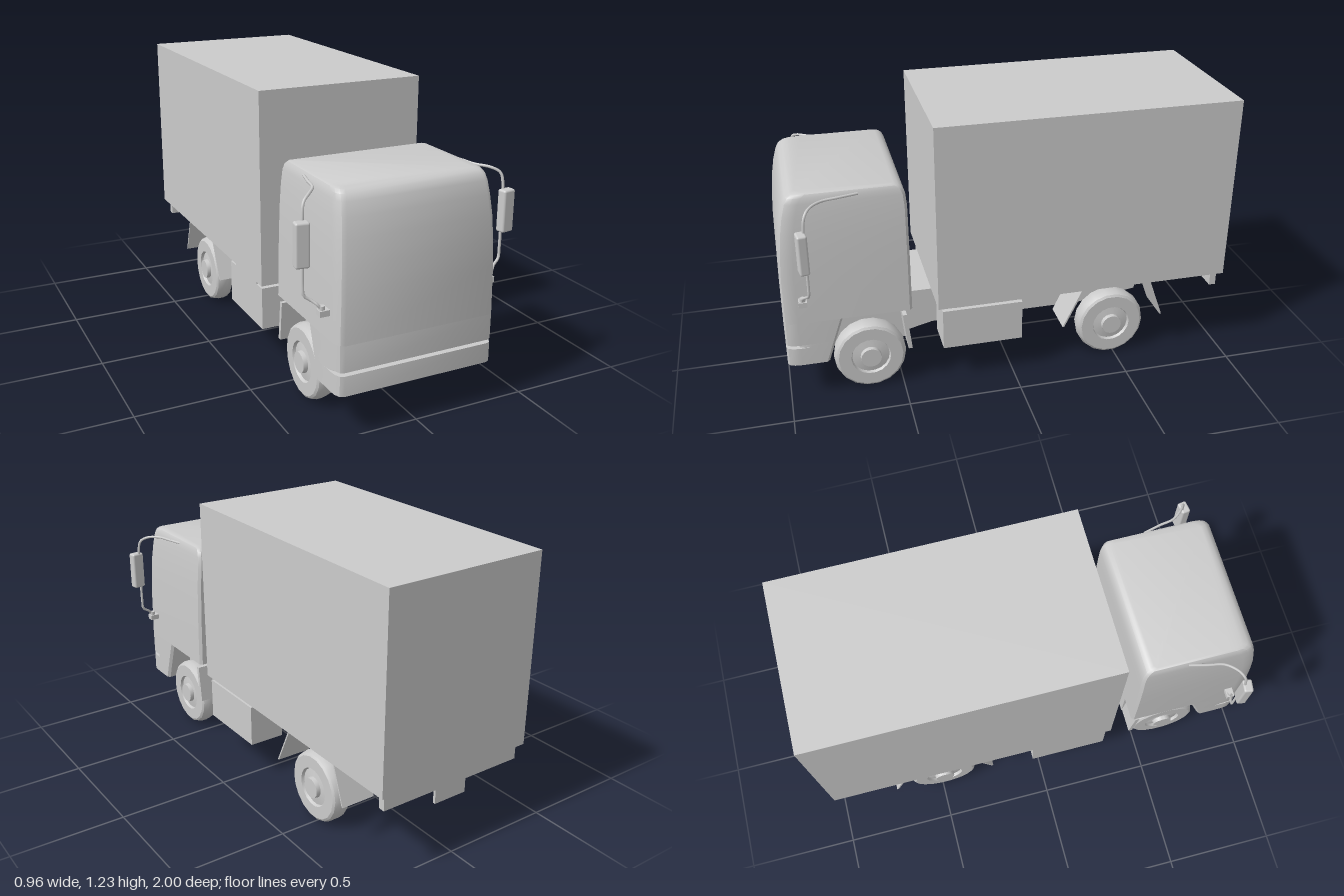
import * as THREE from 'three';
import { toCreasedNormals } from 'three/addons/utils/BufferGeometryUtils.js';
import { RoundedBoxGeometry } from 'three/addons/geometries/RoundedBoxGeometry.js';

const grey = new THREE.MeshStandardMaterial({ color: 0xcccccc });
const greyThin = new THREE.MeshStandardMaterial({ color: 0xcccccc, side: THREE.DoubleSide });

function add(parent, name, geometry, material = grey) {
  const mesh = new THREE.Mesh(geometry, material);
  mesh.name = name;
  parent.add(mesh);
  return mesh;
}

// Box given by its lower and upper limits
function block(parent, name, x0, x1, y0, y1, z0, z1) {
  const g = new THREE.BoxGeometry(x1 - x0, y1 - y0, z1 - z0);
  g.translate((x0 + x1) / 2, (y0 + y1) / 2, (z0 + z1) / 2);
  return add(parent, name, g);
}

// Side profile of [z, y] points extruded across x
function sideProfile(points, x0, x1) {
  const shape = new THREE.Shape(points.map(([z, y]) => new THREE.Vector2(z, y)));
  const g = new THREE.ExtrudeGeometry(shape, { depth: x1 - x0, bevelEnabled: false });
  return g.rotateY(-Math.PI / 2).translate(x1, 0, 0);
}

// Cab outline seen from above, with eased front corners
function cabRing(w, front, back) {
  const right = [[w - 0.03, front], [w - 0.013, front - 0.008], [w - 0.003, front - 0.03],
    [w, front - 0.06], [w, back + 0.012], [w - 0.012, back]];
  const left = right.map(([x, z]) => [-x, z]).reverse();
  return [...right, ...left];
}

// Skin over rows of [y, halfWidth, front, back], closed at both ends
function cabLoft(rows) {
  const pos = [], index = [];
  rows.forEach(([y, w, f, b]) => cabRing(w, f, b).forEach(([x, z]) => pos.push(x, y, z)));
  const n = pos.length / 3 / rows.length;
  for (let r = 0; r < rows.length - 1; r++) {
    for (let i = 0; i < n; i++) {
      const a = r * n + i, b = r * n + (i + 1) % n;
      index.push(a, b, b + n, a, b + n, a + n);
    }
  }
  const top = (rows.length - 1) * n;
  for (let i = 1; i < n - 1; i++) {
    index.push(0, i + 1, i, top, top + i, top + i + 1);
  }
  const g = new THREE.BufferGeometry();
  g.setAttribute('position', new THREE.Float32BufferAttribute(pos, 3));
  g.setIndex(index);
  return toCreasedNormals(g, 0.6);
}

// Wheel with stepped hub facing outwards along +x
function wheel(name, side, z) {
  const profile = [[0, -0.043], [0.14, -0.043], [0.155, -0.033], [0.16, -0.01], [0.16, 0.015],
    [0.153, 0.036], [0.143, 0.043], [0.088, 0.043], [0.083, 0.03], [0.047, 0.036],
    [0.045, 0.055], [0, 0.055]];
  const g = new THREE.LatheGeometry(profile.map(([r, x]) => new THREE.Vector2(r, x)), 18);
  const mesh = new THREE.Mesh(toCreasedNormals(g, 0.6), grey);
  mesh.name = name;
  mesh.rotation.z = -side * Math.PI / 2;
  mesh.position.set(side * 0.287, 0.16, z);
  return mesh;
}

// Wing mirror with its bent support rail; built for one side
function mirror(side) {
  const group = new THREE.Group();
  group.name = side > 0 ? 'leftMirror' : 'rightMirror';
  const rail = [[0.325, 0.957, 0.65], [0.345, 0.957, 0.73], [0.36, 0.955, 0.8], [0.4, 0.95, 0.85],
    [0.432, 0.93, 0.873], [0.441, 0.88, 0.882], [0.441, 0.75, 0.884], [0.441, 0.61, 0.884],
    [0.437, 0.57, 0.886], [0.41, 0.55, 0.895], [0.392, 0.535, 0.91], [0.372, 0.505, 0.913]];
  const path = new THREE.CatmullRomCurve3(rail.map(([x, y, z]) => new THREE.Vector3(side * x, y, z)));
  add(group, 'mirrorRail', new THREE.TubeGeometry(path, 48, 0.006, 8, false), greyThin);
  const head = add(group, 'mirrorHead', new RoundedBoxGeometry(0.058, 0.177, 0.042, 3, 0.009));
  head.position.set(side * 0.451, 0.777, 0.895);
  head.rotation.y = side * 0.15;
  const foot = add(group, 'mirrorFoot', new THREE.BoxGeometry(0.05, 0.024, 0.035));
  foot.position.set(side * 0.366, 0.502, 0.912);
  const clamp = add(group, 'mirrorClamp', new THREE.CylinderGeometry(0.012, 0.012, 0.04, 10));
  clamp.position.set(side * 0.376, 0.51, 0.912);
  return group;
}

export function createModel() {
  const truck = new THREE.Group();
  truck.name = 'boxTruck';

  // Cargo body
  block(truck, 'cargoBox', -0.375, 0.375, 0.385, 1.23, -1, 0.34);

  // Cab: upper shell, and the nose ahead of the wheel arches with a groove above the bumper
  add(truck, 'cabShell', cabLoft([
    [0.39, 0.352, 1, 0.45], [0.6, 0.348, 0.998, 0.45], [0.7, 0.345, 0.992, 0.45],
    [0.8, 0.341, 0.982, 0.45], [0.88, 0.335, 0.968, 0.45], [0.935, 0.33, 0.953, 0.455],
    [0.96, 0.326, 0.94, 0.466], [0.973, 0.32, 0.922, 0.482], [0.978, 0.31, 0.9, 0.5],
  ]));
  add(truck, 'cabNose', cabLoft([
    [0.18, 0.352, 1, 0.82], [0.265, 0.352, 1, 0.792], [0.265, 0.352, 0.95, 0.792],
    [0.28, 0.352, 0.95, 0.787], [0.28, 0.352, 1, 0.787], [0.39, 0.352, 1, 0.75],
  ]));
  block(truck, 'cabFloor', -0.235, 0.235, 0.18, 0.392, 0.455, 0.83);

  // Chassis between the wheels
  add(truck, 'chassis', sideProfile([
    [0.5, 0.185], [0.5, 0.385], [-0.66, 0.386], [-0.64, 0.25], [-0.36, 0.212], [0.34, 0.212], [0.45, 0.185],
  ], -0.19, 0.19));

  // Rear bar and number plate holder
  block(truck, 'rearBar', -0.35, 0.35, 0.315, 0.386, -0.98, -0.95);
  block(truck, 'plateHolder', -0.08, 0.08, 0.245, 0.316, -0.972, -0.96);

  // Parts repeated on both sides
  for (const side of [1, -1]) {
    const label = side > 0 ? 'left' : 'right';
    const [inner, outer] = side > 0 ? [0.2, 0.365] : [-0.365, -0.2];
    block(truck, label + 'SideLocker', inner, outer, 0.175, 0.365, -0.04, 0.32);
    block(truck, label + 'LockerMount', inner, outer - 0.02, 0.36, 0.387, 0.02, 0.26);

    // Mudguard plates: top z, top y, bottom z, bottom y, thickness
    const flaps = { FrontWheelFlap: [0.485, 0.365, 0.457, 0.19, 0.018],
      RearWheelFrontFlap: [-0.335, 0.386, -0.245, 0.19, 0.008],
      RearWheelBackFlap: [-0.645, 0.386, -0.72, 0.19, 0.008] };
    const [fx0, fx1] = side > 0 ? [0.19, 0.35] : [-0.35, -0.19];
    for (const [name, [zt, yt, zb, yb, t]] of Object.entries(flaps)) {
      add(truck, label + name, sideProfile([[zb, yb], [zb + t, yb], [zt + t / 2, yt], [zt - t / 2, yt]], fx0, fx1), greyThin);
    }

    truck.add(wheel(label + 'FrontWheel', side, 0.64));
    truck.add(wheel(label + 'RearWheel', side, -0.48));
    const mirrorGroup = mirror(side);
    truck.add(mirrorGroup);
  }

  // Axles
  for (const [name, z] of [['frontAxle', 0.64], ['rearAxle', -0.48]]) {
    const axle = add(truck, name, new THREE.CylinderGeometry(0.03, 0.03, 0.5, 12));
    axle.rotation.z = Math.PI / 2;
    axle.position.set(0, 0.225, z);
  }
  return truck;
}
